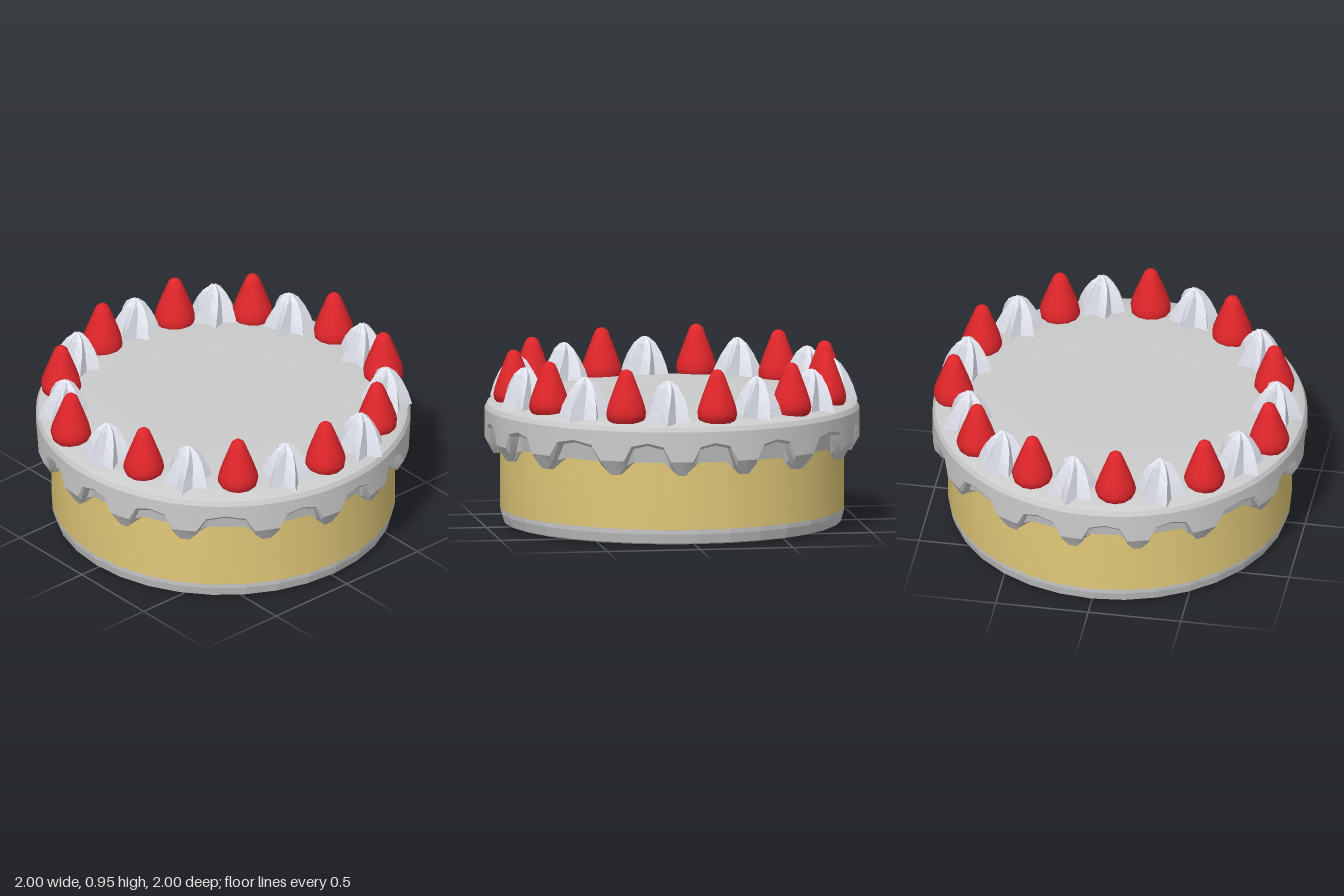
import * as THREE from 'three';
import { toCreasedNormals } from 'three/addons/utils/BufferGeometryUtils.js';

const grey = new THREE.MeshStandardMaterial({ color: 0xcccccc });
const spongeMat = new THREE.MeshStandardMaterial({ color: 0xe0c878 });
const berryMat = new THREE.MeshStandardMaterial({ color: 0xe0262b });
const creamMat = new THREE.MeshStandardMaterial({ color: 0xe4e6f0 });
const SIDES = 32;

// Skin a closed loop of columns, rows running from the top down; point(i, j) gives [radius, y, angle]
function loft(columns, rows, point) {
  const pos = [], index = [];
  for (let j = 0; j < rows; j++) {
    for (let i = 0; i < columns; i++) {
      const [r, y, a] = point(i, j);
      pos.push(r * Math.sin(a), y, r * Math.cos(a));
    }
  }
  for (let j = 0; j < rows - 1; j++) {
    for (let i = 0; i < columns; i++) {
      const n = (i + 1) % columns;
      const a = j * columns + i, b = j * columns + n, c = a + columns, d = b + columns;
      index.push(a, c, d);
      if (j > 0) index.push(a, d, b);
    }
  }
  const g = new THREE.BufferGeometry();
  g.setAttribute('position', new THREE.Float32BufferAttribute(pos, 3));
  g.setIndex(index);
  return g;
}

function lathe(points, sides, crease) {
  const g = new THREE.LatheGeometry(points.map(p => new THREE.Vector2(...p)), sides);
  return toCreasedNormals(g, crease);
}

function add(parent, name, geometry, material) {
  const mesh = new THREE.Mesh(geometry, material);
  mesh.name = name;
  parent.add(mesh);
  return mesh;
}

// Gently domed icing cap whose lower edge hangs in 16 drips, slightly uneven within each quarter
function icingGeometry() {
  const tips = [-27, -5.4, 15.3, 36.3];
  const tip = k => tips[k % 4] + 90 * Math.floor(k / 4);
  // Across half a drip gap: [fraction, edge height, edge radius, inner bottom height]
  const half = [
    [0.06, 0.39, 0.955, 0.388], [0.16, 0.44, 0.975, 0.42], [0.27, 0.535, 0.985, 0.455],
  ];
  const gap = [
    ...half, [0.5, 0.555, 0.985, 0.455],
    ...half.map(([t, ...rest]) => [1 - t, ...rest]).reverse(),
  ];
  const cap = [
    [0, 0.702], [0.5, 0.701], [0.72, 0.697], [0.85, 0.686], [0.95, 0.672], [0.985, 0.656], [0.998, 0.63],
  ];
  const g = loft(16 * gap.length, cap.length + 4, (i, j) => {
    const k = Math.floor(i / gap.length);
    const [t, edgeY, edgeR, innerY] = gap[i % gap.length];
    const a = THREE.MathUtils.degToRad(tip(k) + (tip(k + 1) - tip(k)) * t);
    if (j < cap.length) return [...cap[j], a];
    const below = [
      [0.998, Math.max(edgeY + 0.015, 0.47)], [edgeR, edgeY], [0.935, edgeY], [0.916, innerY],
    ];
    return [...below[j - cap.length], a];
  });
  return toCreasedNormals(g, 0.3);
}

// Piped star of cream: six ridges that twist and close toward the peak
function creamGeometry() {
  const profile = [[0, 0.892], [0.022, 0.886], [0.058, 0.855], [0.092, 0.8], [0.119, 0.74], [0.142, 0.665]];
  const g = loft(12, profile.length, (i, j) => {
    const [r, y] = profile[j];
    const twist = 0.75 * (1 - j / (profile.length - 1)) ** 1.5;
    return [i % 2 ? r * 0.62 : r, y, i * Math.PI / 6 + twist];
  }).toNonIndexed();
  g.computeVertexNormals();
  return g;
}

export function createModel() {
  const cake = new THREE.Group();
  cake.name = 'cake';

  add(cake, 'sponge', lathe([[0.917, 0.095], [0.918, 0.3], [0.915, 0.55]], SIDES, 0.25), spongeMat);

  // Base band curving under the cake
  add(cake, 'baseBand',
    lathe([[0.68, 0.008], [0.88, 0.012], [0.9, 0.02], [0.915, 0.07], [0.917, 0.095]], SIDES, 0.15), grey);

  // Bare sponge below, with a zigzag rim
  const star = new THREE.Shape();
  for (let i = 0; i < SIDES * 2; i++) {
    const a = i * Math.PI / SIDES, r = i % 2 ? 0.68 : 0.74;
    star[i ? 'lineTo' : 'moveTo'](r * Math.cos(a), r * Math.sin(a));
  }
  add(cake, 'spongeUnderside', new THREE.ShapeGeometry(star).rotateX(Math.PI / 2), spongeMat);

  add(cake, 'icing', icingGeometry(), grey);

  // Ring of alternating berries and cream stars
  const berries = [
    [-0.12, -0.84], [0.34, -0.78], [0.68, -0.54], [0.88, -0.11], [0.81, 0.37], [0.45, 0.73],
    [-0.02, 0.85], [-0.49, 0.68], [-0.79, 0.26], [-0.85, -0.26], [-0.57, -0.66],
  ];
  const creams = [
    [0.11, -0.84], [0.52, -0.67], [0.76, -0.34], [0.85, 0.15], [0.65, 0.57], [0.24, 0.83],
    [-0.26, 0.8], [-0.67, 0.48], [-0.84, 0.02], [-0.72, -0.46], [-0.35, -0.78],
  ];
  const berryGeo = lathe([
    [0.09, 0.668], [0.105, 0.69], [0.109, 0.715], [0.102, 0.75], [0.085, 0.8], [0.066, 0.85],
    [0.047, 0.9], [0.034, 0.932], [0.018, 0.946], [0, 0.95],
  ], 12, 0.9);
  const creamGeo = creamGeometry();
  for (const [name, spots, geo, mat] of [
    ['strawberry', berries, berryGeo, berryMat], ['creamStar', creams, creamGeo, creamMat],
  ]) {
    for (const [x, z] of spots) {
      const piece = add(cake, name, geo, mat);
      piece.position.set(x, 0, z);
      piece.rotation.y = Math.atan2(x, z);
    }
  }
  return cake;
}
